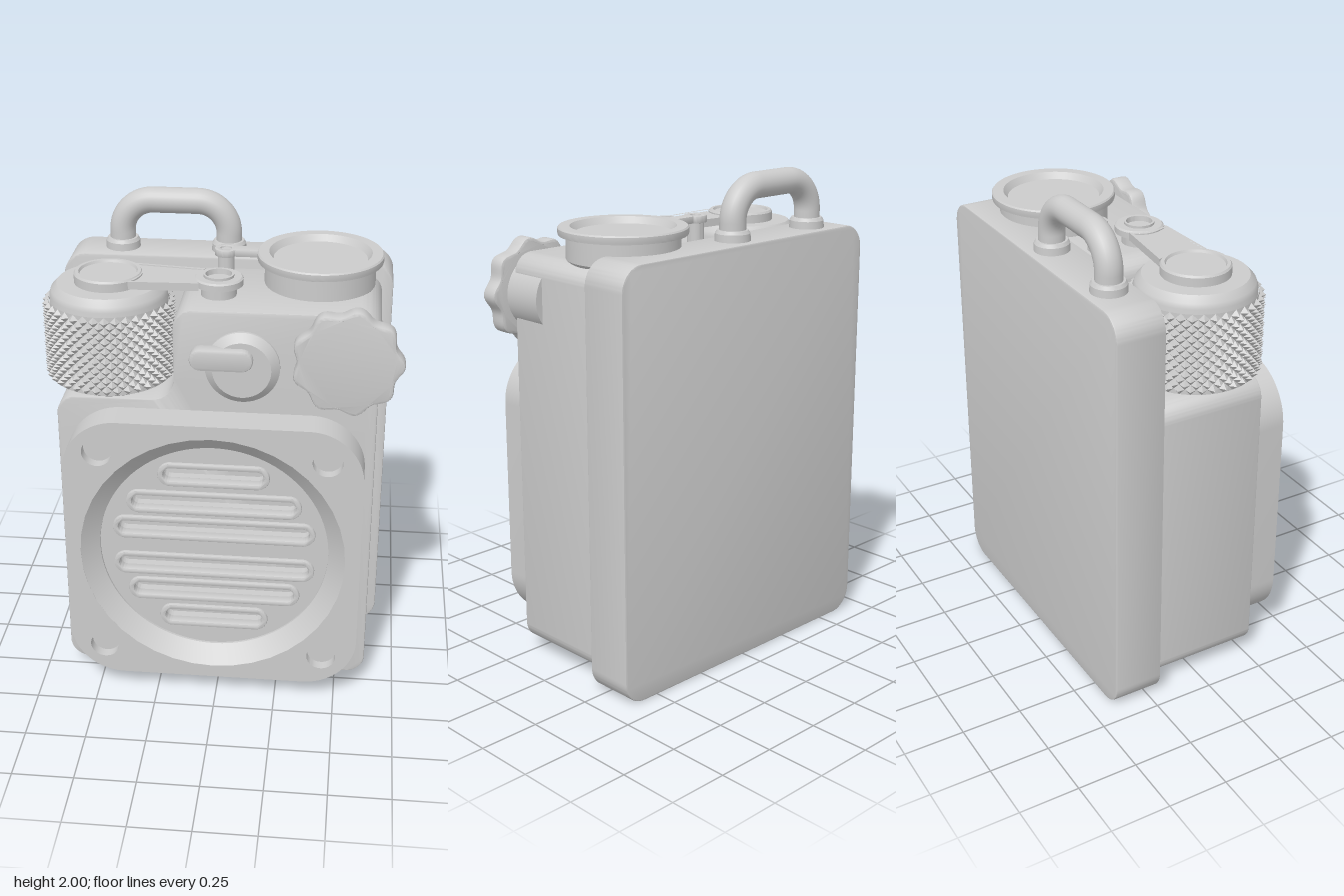
import * as THREE from 'three';
import { toCreasedNormals } from 'three/addons/utils/BufferGeometryUtils.js';

const material = new THREE.MeshStandardMaterial({ color: 0xcccccc });
const knurlMaterial = new THREE.MeshStandardMaterial({ color: 0xcccccc, flatShading: true });

export function createModel() {
  const model = new THREE.Group();
  const add = (name, geo, parent = model, mat = material) => {
    const mesh = new THREE.Mesh(geo, mat);
    mesh.name = name;
    parent.add(mesh);
    return mesh;
  };
  const group = (name, x = 0, y = 0, z = 0) => {
    const g = new THREE.Group();
    g.name = name;
    g.position.set(x, y, z);
    model.add(g);
    return g;
  };

  // Outline with rounded corners; each corner is [x, y, radius]
  const rounded = (corners) => {
    const shape = new THREE.Shape();
    const n = corners.length;
    corners.forEach(([x, y, r], i) => {
      const p = new THREE.Vector2(x, y);
      const toward = (c, d) => p.clone().add(new THREE.Vector2(c[0] - x, c[1] - y).setLength(d));
      const prev = corners[(i + n - 1) % n], next = corners[(i + 1) % n];
      const a = toward(prev, r), b = toward(next, r);
      const ca = toward(prev, r * 0.45), cb = toward(next, r * 0.45);
      if (i === 0) shape.moveTo(a.x, a.y); else shape.lineTo(a.x, a.y);
      shape.bezierCurveTo(ca.x, ca.y, cb.x, cb.y, b.x, b.y);
    });
    shape.closePath();
    return shape;
  };
  const rect = (x0, y0, x1, y1, r) => rounded([[x0, y0, r], [x1, y0, r], [x1, y1, r], [x0, y1, r]]);
  const circle = (x, y, r, Type = THREE.Path) => new Type().absarc(x, y, r, 0, Math.PI * 2, false);
  const stadium = (x0, x1, y, r, Type = THREE.Path) => {
    const p = new Type();
    p.absarc(x1 - r, y, r, -Math.PI / 2, Math.PI / 2, false);
    p.absarc(x0 + r, y, r, Math.PI / 2, Math.PI * 1.5, false);
    p.closePath();
    return p;
  };

  // Extrusion along z between z0 and z1, with an optional inward bevel
  const slab = (shape, z0, z1, bevel = 0) => {
    const geo = new THREE.ExtrudeGeometry(shape, {
      depth: z1 - z0 - 2 * bevel, curveSegments: 20, bevelEnabled: bevel > 0,
      bevelSize: bevel, bevelThickness: bevel, bevelOffset: -bevel, bevelSegments: 2,
    });
    return toCreasedNormals(geo.translate(0, 0, z0 + bevel), 0.6);
  };
  // Extrusion along y; shape y becomes -z
  const plate = (shape, y0, y1, bevel) => slab(shape, y0, y1, bevel).rotateX(-Math.PI / 2);
  // Turned part from [radius, height] pairs
  const turned = (profile, sides = 64) =>
    toCreasedNormals(new THREE.LatheGeometry(profile.map(([r, h]) => new THREE.Vector2(r, h)), sides), 0.5);
  const turnedZ = (profile, sides) => turned(profile, sides).rotateX(Math.PI / 2);

  // Case: back plate and notched main body
  add('backPlate', slab(rect(-0.69, 0, 0.67, 1.745, 0.1), -0.405, -0.2, 0.006));
  add('mainBody', slab(rounded([
    [-0.648, 0.05, 0.08], [0.625, 0.05, 0.08], [0.625, 1.7, 0.08],
    [-0.177, 1.7, 0.08], [-0.177, 1.315, 0.09], [-0.648, 1.315, 0.08],
  ]), -0.21, 0.265, 0.006));

  // Speaker panel
  const speaker = group('speakerPanel');
  const cx = -0.013, cy = 0.68;
  const panel = rect(-0.61, 0.085, 0.587, 1.275, 0.22);
  panel.holes.push(circle(cx, cy, 0.54));
  for (const x of [-0.47, 0.443]) for (const y of [0.22, 1.14]) {
    panel.holes.push(circle(x, y, 0.06));
    add('screw', turnedZ([[0.061, 0], [0.061, 0.1], [0, 0.1]], 32), speaker).position.set(x, y, 0.26);
  }
  add('panelFrame', slab(panel, 0.26, 0.405), speaker);
  add('speakerBevel', turnedZ([[0.47, 0.325], [0.47, 0.34], [0.54, 0.405]].reverse(), 80), speaker)
    .position.set(cx, cy, 0);

  // Grille disc with rimmed slots
  const grille = circle(cx, cy, 0.475, THREE.Shape);
  const slots = [[1.02, 0.226], [0.89, 0.357], [0.767, 0.415], [0.595, 0.415], [0.472, 0.357], [0.345, 0.226]];
  for (const [y, half] of slots) {
    grille.holes.push(stadium(cx - half + 0.02, cx + half - 0.02, y, 0.032));
    const rim = stadium(cx - half, cx + half, y, 0.052, THREE.Shape);
    rim.holes.push(stadium(cx - half + 0.023, cx + half - 0.023, y, 0.029));
    add('slotRim', slab(rim, 0.3, 0.345, 0.006), speaker);
  }
  add('grille', slab(grille, 0.262, 0.33), speaker);

  // Large knurled knob on a vertical axis
  const knob = group('knurledKnob', -0.455, 0, 0.07);
  add('knobCore', turned([
    [0, 1.29], [0.13, 1.29], [0.13, 1.32], [0.195, 1.32], [0.235, 1.355], [0.235, 1.69],
    [0.228, 1.71], [0.205, 1.735], [0, 1.735],
  ]), knob);
  add('knurling', knurl(0.243, 0.266, 1.345, 1.675, 72, 16), knob, knurlMaterial);
  add('knobCap', turned([[0.136, 1.73], [0.136, 1.77], [0.13, 1.778], [0.117, 1.778], [0.112, 1.768], [0, 1.768]]), knob);

  // Bridge linking the knob to its pivot
  const bridge = group('bridge');
  const arm = (inset) => {
    const s = new THREE.Shape();
    s.moveTo(-0.36 + inset, 0.03 - inset);
    s.lineTo(-0.075 - inset, -0.003 - inset);
    s.quadraticCurveTo(-0.125 - inset, -0.085, -0.085 - inset, -0.168 + inset);
    s.lineTo(-0.36 + inset, -0.178 + inset);
    s.quadraticCurveTo(-0.3 + inset, -0.07, -0.36 + inset, 0.03 - inset);
    return s;
  };
  const armFrame = arm(0);
  armFrame.holes.push(arm(0.012));
  add('armBase', plate(arm(0), 1.742, 1.765), bridge);
  add('armEdge', plate(armFrame, 1.76, 1.774), bridge);
  add('pivot', turned([
    [0.07, 1.69], [0.07, 1.745], [0.097, 1.745], [0.097, 1.77], [0.09, 1.776], [0.06, 1.776],
    [0.06, 1.786], [0.052, 1.786], [0.05, 1.765], [0, 1.765],
  ], 48), bridge).position.set(-0.015, 0, 0.085);

  // Round top port with dished lid and small hinge lug
  const port = group('topPort');
  add('portLid', turned([
    [0, 1.66], [0.19, 1.66], [0.222, 1.7], [0.222, 1.793], [0.25, 1.793], [0.252, 1.8], [0.252, 1.82], [0.247, 1.826],
    [0.205, 1.826], [0.187, 1.8], [0, 1.8],
  ], 80), port).position.set(0.374, 0, -0.093);
  const lug = new THREE.Shape();
  lug.moveTo(0.16, 0.078);
  lug.lineTo(0.16, 0.132);
  lug.lineTo(0.033, 0.132);
  lug.absarc(-0.005, 0.105, 0.046, 0.62, Math.PI * 2 - 0.62, false);
  lug.closePath();
  lug.holes.push(circle(-0.005, 0.105, 0.022));
  add('lug', plate(lug, 1.795, 1.824, 0.003), port);
  add('lugPost', turned([[0.034, 1.69], [0.034, 1.796], [0.021, 1.796], [0.021, 1.818], [0, 1.818]], 32), port)
    .position.set(-0.005, 0, -0.105);

  // Carrying handle
  const handle = group('handle', 0, 0, -0.303);
  const [hx0, hx1, top, bend] = [-0.455, -0.012, 1.948, 0.13];
  const v = (x, y) => new THREE.Vector3(x, y, 0);
  const path = new THREE.CurvePath();
  const k = bend * 0.45;
  path.add(new THREE.LineCurve3(v(hx0, 1.73), v(hx0, top - bend)));
  path.add(new THREE.CubicBezierCurve3(v(hx0, top - bend), v(hx0, top - k), v(hx0 + k, top), v(hx0 + bend, top)));
  path.add(new THREE.LineCurve3(v(hx0 + bend, top), v(hx1 - bend, top)));
  path.add(new THREE.CubicBezierCurve3(v(hx1 - bend, top), v(hx1 - k, top), v(hx1, top - k), v(hx1, top - bend)));
  path.add(new THREE.LineCurve3(v(hx1, top - bend), v(hx1, 1.73)));
  add('handleBar', new THREE.TubeGeometry(path, 80, 0.053, 24), handle);
  for (const x of [hx0, hx1])
    add('handleCollar', turned([[0.072, 1.735], [0.07, 1.775], [0.062, 1.788], [0.05, 1.788]], 40), handle).position.x = x;

  // Scalloped front dial on a stub that swells out of the side
  const dial = group('scallopedDial', 0.503, 1.535, 0);
  const wave = [];
  for (let i = 0; i < 108; i++) {
    const t = (i / 108) * Math.PI * 2, r = 0.206 + 0.012 * Math.cos(9 * t);
    wave.push(new THREE.Vector2(r * Math.cos(t), r * Math.sin(t)));
  }
  const scallop = new THREE.Shape(wave);
  scallop.holes.push(circle(0, 0, 0.172));
  add('dialRing', slab(scallop, 0.277, 0.35, 0.012), dial);
  add('dialFace', turnedZ([[0, 0.279], [0.178, 0.279], [0.178, 0.325], [0.163, 0.34], [0, 0.34]]), dial);
  add('dialStub', turnedZ([[0, 0.1], [0.152, 0.1], [0.152, 0.28], [0, 0.28]]), dial);

  // Selector switch with an offset lever
  const selector = group('selector');
  add('selectorBase', turnedZ([[0.147, 0.255], [0.147, 0.277], [0.115, 0.307], [0, 0.307]]), selector)
    .position.set(0.095, 1.475, 0);
  add('selectorLever', slab(stadium(-0.107, 0.14, 1.523, 0.044, THREE.Shape), 0.275, 0.338, 0.01), selector);

  return model;
}

// Band of diamond pyramids around the y axis
function knurl(low, high, y0, y1, cols, rows) {
  const pos = [], index = [];
  for (let j = 0; j <= rows; j++) for (let i = 0; i < cols; i++) {
    const peak = (i + j) % 2 === 0 && j > 0 && j < rows;
    const r = peak ? high : low, t = (i / cols) * Math.PI * 2;
    pos.push(r * Math.sin(t), y0 + (y1 - y0) * j / rows, r * Math.cos(t));
  }
  for (let j = 0; j < rows; j++) for (let i = 0; i < cols; i++) {
    const n = (i + 1) % cols;
    const a = j * cols + i, b = j * cols + n, c = b + cols, d = a + cols;
    // Fold each cell along its valley
    if ((i + j) % 2 === 0) index.push(a, b, d, b, c, d);
    else index.push(a, b, c, a, c, d);
  }
  const geo = new THREE.BufferGeometry();
  geo.setAttribute('position', new THREE.Float32BufferAttribute(pos, 3));
  geo.setIndex(index);
  geo.computeVertexNormals();
  return geo;
}
